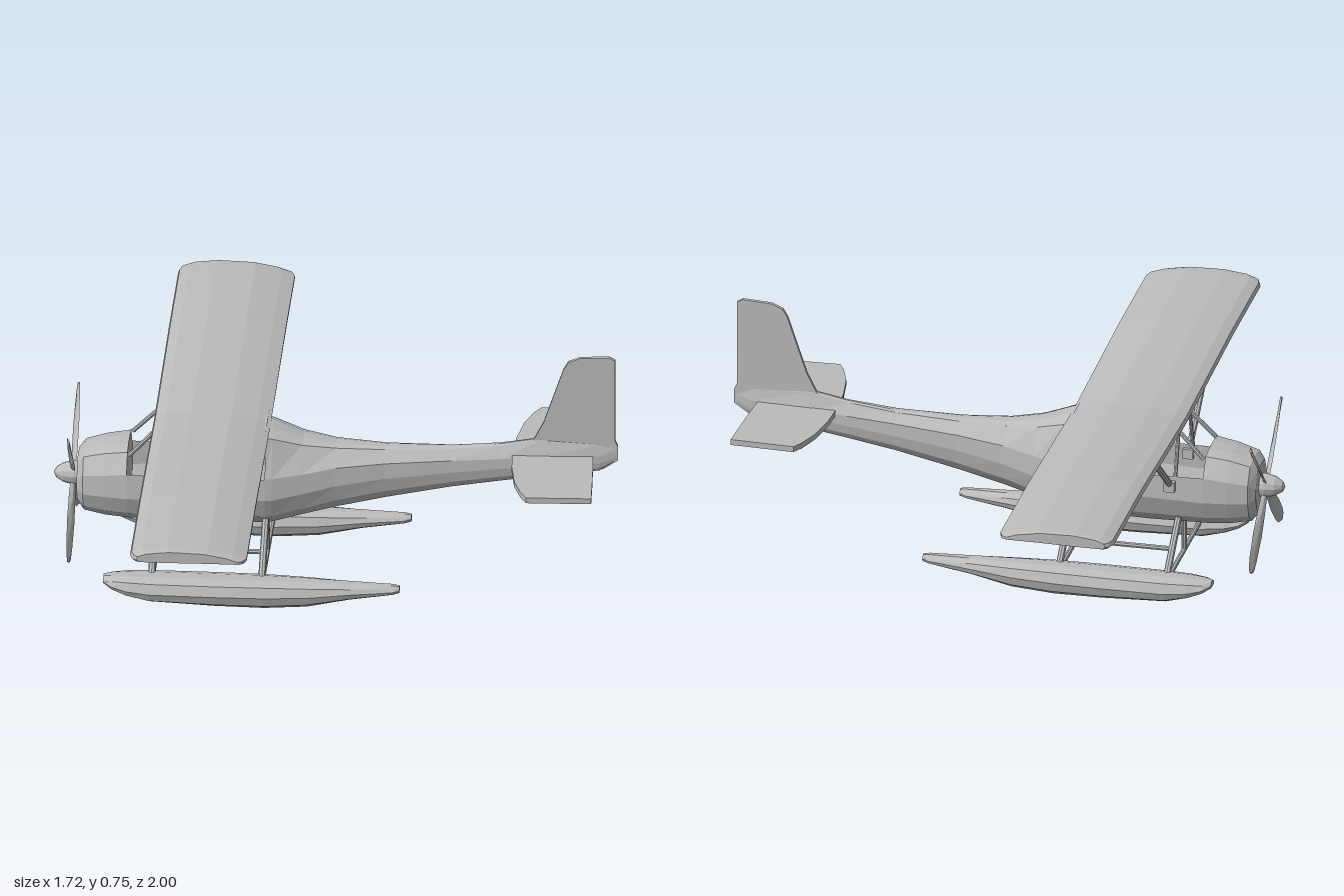
import * as THREE from 'three';

const grey = new THREE.MeshStandardMaterial({ color: 0xbbbbbb, flatShading: true, side: THREE.DoubleSide });
grey.name = 'grey';
const V = (x, y, z) => new THREE.Vector3(x, y, z);

export function createModel() {
  const plane = new THREE.Group();
  plane.name = 'floatplane';
  const add = (name, geometry, parent = plane) => {
    const mesh = new THREE.Mesh(geometry, grey);
    mesh.name = name;
    parent.add(mesh);
    return mesh;
  };

  // Skin over rows of points; closed rings may be capped at either end.
  const loft = (rows, { closed = true, capStart = false, capEnd = false } = {}) => {
    const n = rows[0].length, pos = rows.flat().flatMap(p => [p.x, p.y, p.z]), idx = [];
    for (let i = 0; i < rows.length - 1; i++)
      for (let j = 0; j < (closed ? n : n - 1); j++) {
        const a = i * n + j, b = i * n + (j + 1) % n;
        idx.push(a, a + n, b + n, a, b + n, b);
      }
    const cap = (row, flip) => {
      const start = row * n;
      for (let j = 1; j < n - 1; j++)
        idx.push(start, start + (flip ? j : j + 1), start + (flip ? j + 1 : j));
    };
    if (capStart) cap(0, true);
    if (capEnd) cap(rows.length - 1, false);
    const g = new THREE.BufferGeometry();
    g.setAttribute('position', new THREE.Float32BufferAttribute(pos, 3));
    g.setIndex(idx);
    const flat = g.toNonIndexed();
    flat.computeVertexNormals();
    return flat;
  };

  // Round rod between two points.
  const rod = (name, a, b, r = 0.009, parent = plane) => {
    const d = b.clone().sub(a);
    const mesh = add(name, new THREE.CylinderGeometry(r, r, d.length(), 8), parent);
    mesh.position.copy(a).add(b).multiplyScalar(0.5);
    mesh.quaternion.setFromUnitVectors(V(0, 1, 0), d.normalize());
    return mesh;
  };

  // Fuselage station: bottom, waist, sill, top, half width, half width of the top.
  const section = ([x, yb, ym, ys, yt, w, wt]) => {
    const half = [[w * 0.4, yb], [w * 0.82, yb + (ym - yb) * 0.4], [w, ym], [w * 0.97, ys],
      [wt, yt - (yt - ys) * 0.12], [wt * 0.4, yt]];
    return [...half.map(([z, y]) => V(x, y, z)), ...half.reverse().map(([z, y]) => V(x, y, -z))];
  };

  // Engine cowl
  const cowl = [
    [-0.785, 0.225, 0.29, 0.32, 0.375, 0.075, 0.05],
    [-0.765, 0.20, 0.28, 0.34, 0.397, 0.098, 0.065],
    [-0.70, 0.188, 0.28, 0.35, 0.415, 0.112, 0.072],
    [-0.63, 0.183, 0.28, 0.36, 0.425, 0.121, 0.078],
  ];
  add('cowl', loft(cowl.map(section), { capStart: true, capEnd: true }));

  // Open cabin tub, up to the window sills
  const tub = [
    [-0.63, 0.183, 0.28, 0.36, 0.425, 0.121, 0.078],
    [-0.45, 0.18, 0.285, 0.36, 0.45, 0.126, 0.08],
    [-0.21, 0.183, 0.29, 0.36, 0.49, 0.123, 0.08],
  ].map(section).map(r => [...r.slice(8), ...r.slice(0, 4)]);
  add('cabinTub', loft(tub, { closed: false }));

  // Rear fuselage
  const rear = [
    [-0.21, 0.183, 0.29, 0.36, 0.497, 0.123, 0.08],
    [-0.19, 0.186, 0.29, 0.362, 0.492, 0.12, 0.075],
    [-0.10, 0.21, 0.305, 0.37, 0.46, 0.1, 0.055],
    [0.00, 0.235, 0.325, 0.385, 0.442, 0.078, 0.038],
    [0.15, 0.268, 0.345, 0.395, 0.434, 0.055, 0.025],
    [0.35, 0.308, 0.365, 0.405, 0.438, 0.039, 0.016],
    [0.50, 0.332, 0.38, 0.412, 0.453, 0.031, 0.01],
    [0.62, 0.35, 0.39, 0.418, 0.475, 0.025, 0.007],
    [0.80, 0.374, 0.4, 0.425, 0.465, 0.014, 0.006],
    [0.85, 0.405, 0.42, 0.435, 0.455, 0.007, 0.005],
  ];
  add('rearFuselage', loft(rear.map(section), { capEnd: true }));

  // Window frames and the roof under the wing
  for (const s of [1, -1]) {
    rod('windscreenPillar', V(-0.625, 0.41, 0.085 * s), V(-0.55, 0.488, 0.075 * s), 0.007);
    rod('frontPost', V(-0.545, 0.36, 0.117 * s), V(-0.545, 0.488, 0.075 * s), 0.006);
    rod('middlePost', V(-0.385, 0.36, 0.12 * s), V(-0.385, 0.485, 0.076 * s), 0.003);
    rod('roofRail', V(-0.55, 0.485, 0.075 * s), V(-0.205, 0.474, 0.08 * s), 0.008);
  }
  const roof = add('roof', new THREE.BoxGeometry(0.34, 0.018, 0.15));
  roof.position.set(-0.38, 0.492, 0);

  // Wing, with slight dihedral out to mid span and rounded tips
  const airfoil = [[-0.555, 0.512], [-0.55, 0.525], [-0.52, 0.536], [-0.44, 0.545], [-0.32, 0.542], [-0.24, 0.528],
    [-0.2, 0.515], [-0.2, 0.506], [-0.3, 0.506], [-0.45, 0.504], [-0.545, 0.504]];
  const spans = [-1, -0.99, -0.965, -0.6, -0.3, 0, 0.3, 0.6, 0.965, 0.99, 1];
  add('wing', loft(spans.map(z => {
    const a = Math.abs(z), k = a > 0.995 ? 0.87 : a > 0.97 ? 0.95 : 1;
    const drop = 0.02 * (1 - Math.min(a / 0.6, 1));
    return airfoil.map(([x, y]) => V(-0.39 + (x + 0.39) * k, 0.52 + (y - 0.52) * k - (y > 0.51 ? drop : drop * 0.6), z));
  }), { capStart: true, capEnd: true }));

  // Wing struts with their fuselage fittings
  for (const s of [1, -1]) {
    rod('wingStrut', V(-0.53, 0.33, 0.12 * s), V(-0.53, 0.505, 0.34 * s), 0.01);
    add('strutFitting', new THREE.BoxGeometry(0.032, 0.032, 0.03)).position.set(-0.53, 0.33, 0.125 * s);
  }

  // Plate cut from an outline, centred on its thickness
  const plate = (points, t) => new THREE.ExtrudeGeometry(
    new THREE.Shape(points.map(p => new THREE.Vector2(...p))), { depth: t, bevelEnabled: false }).translate(0, 0, -t / 2);

  // Tail fin
  add('fin', plate([[0.58, 0.44], [0.605, 0.48], [0.63, 0.53], [0.69, 0.71], [0.705, 0.735], [0.74, 0.75],
    [0.83, 0.755], [0.847, 0.745], [0.847, 0.475], [0.856, 0.455], [0.856, 0.41], [0.81, 0.378]], 0.012));

  // Tailplane
  const edge = [[0.535, 0], [0.54, 0.1], [0.555, 0.2], [0.58, 0.275], [0.6, 0.31], [0.797, 0.302], [0.79, 0.15], [0.78, 0]];
  const tail = [...edge, ...edge.slice(1, -1).reverse().map(([x, z]) => [x, -z])];
  add('tailplane', plate(tail, 0.018).rotateX(Math.PI / 2).translate(0, 0.415, 0));

  // Propeller: spinner and four blades
  const propeller = new THREE.Group();
  propeller.name = 'propeller';
  propeller.position.set(-0.8, 0.305, 0);
  plane.add(propeller);
  const profile = [[0, -0.02], [0.036, -0.02], [0.037, 0.0], [0.03, 0.03], [0.016, 0.052], [0, 0.06]];
  add('spinner', new THREE.LatheGeometry(profile.map(p => new THREE.Vector2(...p)), 12).rotateZ(Math.PI / 2), propeller);
  const bladeRows = [[0.02, 0.009, 0.9], [0.08, 0.014, 0.75], [0.16, 0.021, 0.5], [0.24, 0.022, 0.35], [0.275, 0.018, 0.3], [0.287, 0.008, 0.3]]
    .map(([y, w, twist]) => [[w, 0], [0, 0.004], [-w, 0], [0, -0.004]].map(([z, x]) =>
      V(x * Math.cos(twist) + z * Math.sin(twist), y, z * Math.cos(twist) - x * Math.sin(twist))));
  for (let i = 0; i < 4; i++)
    add('blade', loft(bladeRows, { capEnd: true }), propeller).rotation.x = Math.PI / 4 + i * Math.PI / 2;

  // Floats: x, keel, chine, deck, half width
  const hull = [
    [-0.69, 0.064, 0.072, 0.084, 0.026], [-0.665, 0.047, 0.064, 0.088, 0.043], [-0.62, 0.028, 0.055, 0.09, 0.054],
    [-0.55, 0.01, 0.05, 0.09, 0.062], [-0.35, 0.002, 0.05, 0.09, 0.064], [-0.2, 0, 0.05, 0.09, 0.061],
    [-0.07, 0.008, 0.052, 0.088, 0.052], [0.06, 0.034, 0.06, 0.085, 0.037], [0.19, 0.052, 0.066, 0.082, 0.022],
    [0.21, 0.058, 0.068, 0.079, 0.016],
  ];
  for (const s of [1, -1]) {
    const rows = hull.map(([x, yk, yc, yd, w]) => [[0.35, yk], [0.85, yk + (yc - yk) * 0.4], [1, yc], [0.8, yd - 0.01], [0.3, yd],
      [-0.3, yd], [-0.8, yd - 0.01], [-1, yc], [-0.85, yk + (yc - yk) * 0.4], [-0.35, yk]].map(([k, y]) => V(x, y, k * w)));
    add('float', loft(rows, { capStart: true, capEnd: true })).position.z = 0.245 * s;
    // Side struts and the rail joining them
    for (const x of [-0.545, -0.21]) rod('floatStrut', V(x, 0.075, 0.235 * s), V(x, 0.21, 0.07 * s), 0.011);
    rod('floatRail', V(-0.545, 0.137, 0.16 * s), V(-0.21, 0.137, 0.16 * s), 0.008);
  }

  // Spreader bars and centre posts
  for (const x of [-0.545, -0.21]) {
    rod('spreaderBar', V(x, 0.065, -0.22), V(x, 0.065, 0.22), 0.008);
    rod('centrePost', V(x, 0.065, 0), V(x, 0.19, 0), 0.008);
  }
  return plane;
}
